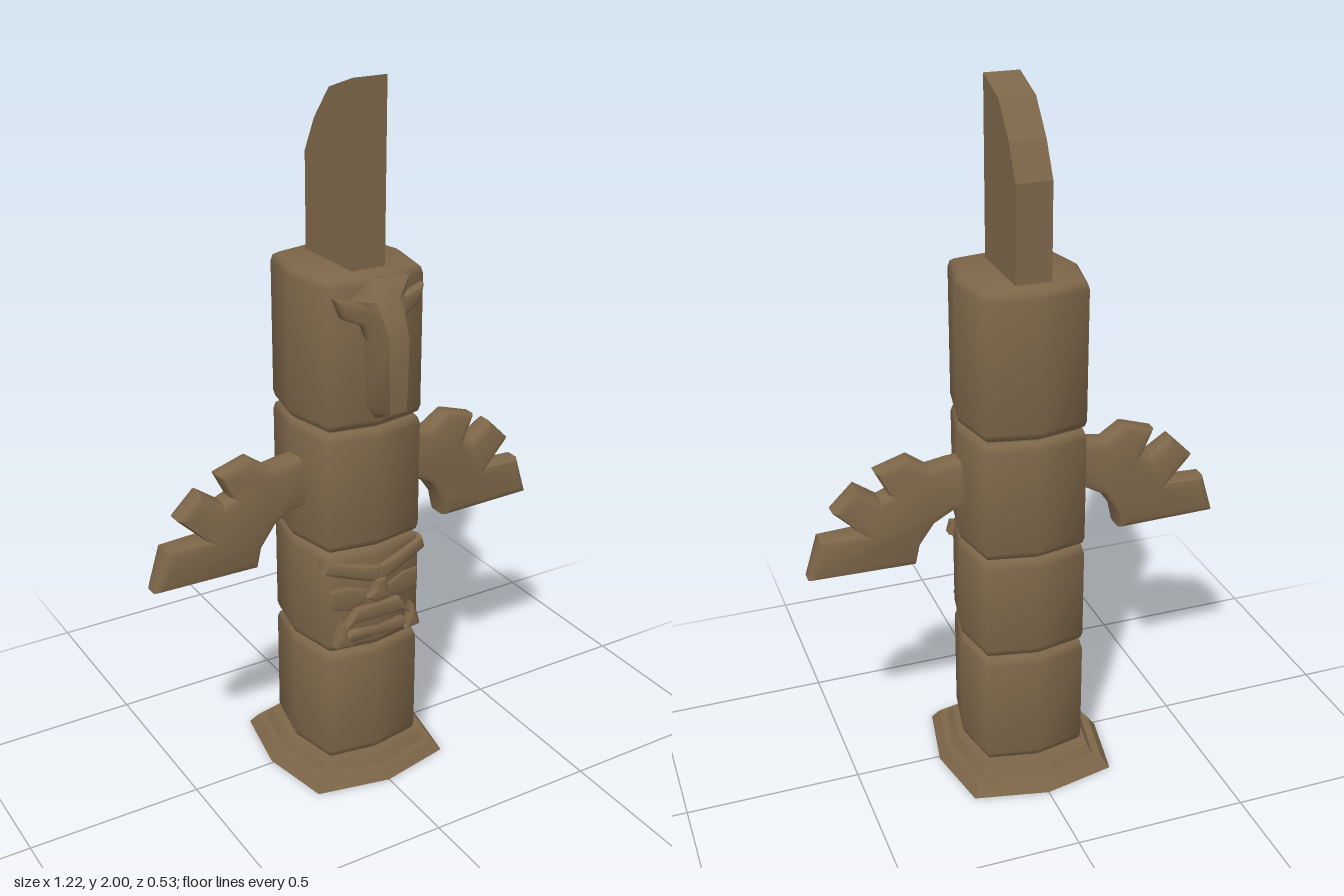
import * as THREE from 'three';
import { toCreasedNormals } from 'three/addons/utils/BufferGeometryUtils.js';

const wood = new THREE.MeshStandardMaterial({ color: 0x7d6649 });
wood.name = 'carved wood';

// Skin a stack of equal-length rings (counter-clockwise from above) and cap both ends
function loft(rings, crease) {
  const n = rings[0].length, pos = [], idx = [];
  rings.forEach(r => r.forEach(p => pos.push(...p)));
  for (let i = 0; i < rings.length - 1; i++) {
    for (let j = 0; j < n; j++) {
      const a = i * n + j, b = i * n + (j + 1) % n;
      idx.push(a, b, b + n, a, b + n, a + n);
    }
  }
  const top = (rings.length - 1) * n;
  for (let j = 1; j < n - 1; j++) idx.push(0, j + 1, j, top, top + j, top + j + 1);
  const g = new THREE.BufferGeometry();
  g.setAttribute('position', new THREE.Float32BufferAttribute(pos, 3));
  g.setIndex(idx);
  return toCreasedNormals(g, crease);
}

// Eight-sided plan, slightly pointed at the front and back
const octagon = (pts, s, y) => pts.map(([x, z]) => [x * s, y, z * s]);
const mirrorPlan = half => [...half, ...half.slice(1, -1).reverse().map(([x, z]) => [-x, z])];
const bodyPlan = mirrorPlan([[0, 0.174], [0.144, 0.15], [0.174, 0], [0.144, -0.15], [0, -0.18]]);
const basePlan = mirrorPlan([[0, 0.245], [0.21, 0.2], [0.25, -0.01], [0.21, -0.222], [0, -0.268]]);

// Soft-edged plate from an outline in x and y, its back at z
function plate(pts, z, depth, bevel) {
  const shape = new THREE.Shape(pts.map(p => new THREE.Vector2(...p)));
  const g = new THREE.ExtrudeGeometry(shape, {
    depth: depth - 2 * bevel, bevelEnabled: bevel > 0, bevelSize: bevel,
    bevelThickness: bevel, bevelOffset: -bevel, bevelSegments: 2,
  });
  return g.translate(0, 0, z + bevel);
}

// Move every vertex by a rule
function warp(g, rule) {
  const p = g.attributes.position, v = new THREE.Vector3();
  for (let i = 0; i < p.count; i++) {
    rule(v.fromBufferAttribute(p, i));
    p.setXYZ(i, v.x, v.y, v.z);
  }
  return g;
}

const flip = pts => pts.map(([x, y]) => [-x, y]);
const hug = v => { v.z -= Math.abs(v.x) * 0.16; };

export function createModel() {
  const group = new THREE.Group();
  const add = (name, geometry) => {
    const m = new THREE.Mesh(geometry, wood);
    m.name = name;
    group.add(m);
  };
  const carving = (name, pts, z, depth, bevel) =>
    add(name, toCreasedNormals(warp(plate(pts, z, depth, bevel), hug), 0.9));

  // Stepped, hollow-bottomed base
  const steps = [[0.8, 0.03], [0.85, 0], [1, 0], [0.91, 0.03], [0.82, 0.03], [0.75, 0.06], [0.62, 0.062]];
  add('base', loft(steps.map(([s, y]) => octagon(basePlan, s, y)), 0.4));

  // Four stacked drums joined by a core
  add('core', loft([0.05, 1.4].map(y => octagon(bodyPlan, 0.9, y)), 1.3));
  [['lowerDrum', 0.065, 0.415], ['faceDrum', 0.418, 0.73],
    ['wingDrum', 0.73, 1.085], ['beakDrum', 1.088, 1.51]].forEach(([name, a, b]) => {
    const rings = [[0.9, a], [0.97, a + 0.008], [1, a + 0.025], [1, b - 0.025], [0.97, b - 0.008], [0.9, b]];
    add(name, loft(rings.map(([s, y]) => octagon(bodyPlan, s, y)), 1.3));
  });

  // Blade crest on top
  const crest = plate([[-0.113, 1.49], [0.125, 1.49], [0.125, 1.775], [0.075, 1.87], [0, 1.96], [-0.115, 2]], -0.05, 0.1, 0);
  add('crest', crest.rotateY(Math.PI / 2));

  // Beak: [y, front half width, front z, back half width]
  const beak = [[1.12, 0.012, 0.18, 0.02], [1.16, 0.026, 0.263, 0.042], [1.36, 0.03, 0.265, 0.05],
    [1.41, 0.032, 0.24, 0.075], [1.45, 0.034, 0.21, 0.1], [1.5, 0.03, 0.168, 0.11]];
  add('beak', loft(beak.map(([y, wf, zf, wb]) =>
    [[-wf, y, zf], [wf, y, zf], [wb, y, 0.145], [-wb, y, 0.145]]), 0.9));

  // Features that come in pairs
  const beakBrow = [[0.01, 1.43], [0.135, 1.465], [0.115, 1.41], [0.06, 1.385], [0.035, 1.32], [0.01, 1.32]];
  const faceBrow = [[0, 0.675], [0.05, 0.685], [0.155, 0.715], [0.165, 0.68], [0.12, 0.66], [0.04, 0.635], [0, 0.625]];
  const cheek = [[0.03, 0.605], [0.09, 0.625], [0.145, 0.62], [0.145, 0.56], [0.09, 0.545], [0.04, 0.565]];
  const tusk = [[0.085, 0.45], [0.138, 0.45], [0.128, 0.49], [0.112, 0.525], [0.105, 0.485]];
  const wing = [[0.13, 0.99], [0.2, 0.985], [0.26, 0.975], [0.315, 1.015], [0.41, 0.985], [0.375, 0.915],
    [0.4, 0.905], [0.465, 0.952], [0.532, 0.885], [0.455, 0.81], [0.572, 0.81], [0.608, 0.69],
    [0.305, 0.69], [0.292, 0.75], [0.25, 0.81], [0.2, 0.838], [0.13, 0.845]];
  [['left', p => p], ['right', flip]].forEach(([side, f]) => {
    carving(side + 'BeakBrow', f(beakBrow), 0.14, 0.058, 0.012);
    carving(side + 'FaceBrow', f(faceBrow), 0.14, 0.048, 0.01);
    carving(side + 'Cheek', f(cheek), 0.14, 0.04, 0.01);
    carving(side + 'Tusk', f(tusk), 0.15, 0.055, 0.006);
    // Feathered wing, thinner towards tip and top
    const g = warp(plate(f(wing), -0.05, 0.1, 0.024), v => {
      const out = Math.max(0, Math.abs(v.x) - 0.25) / 0.36;
      const up = Math.max(0, v.y - 0.85) / 0.16;
      v.z = 0.01 + v.z * (1 - 0.3 * out) * (1 - 0.3 * up);
    });
    add(side + 'Wing', toCreasedNormals(g, 0.8));
  });

  // Nose and mouth
  carving('nose', [[-0.04, 0.585], [-0.02, 0.605], [-0.018, 0.64], [0.018, 0.64], [0.02, 0.605],
    [0.04, 0.585], [0.02, 0.57], [-0.02, 0.57]], 0.14, 0.055, 0.01);
  carving('upperLip', [[-0.115, 0.485], [-0.07, 0.555], [0.07, 0.555], [0.115, 0.485],
    [0.075, 0.51], [-0.075, 0.51]], 0.14, 0.054, 0.008);
  carving('lowerLip', [[-0.12, 0.447], [-0.085, 0.485], [0.085, 0.485], [0.12, 0.447]], 0.14, 0.052, 0.01);
  return group;
}
